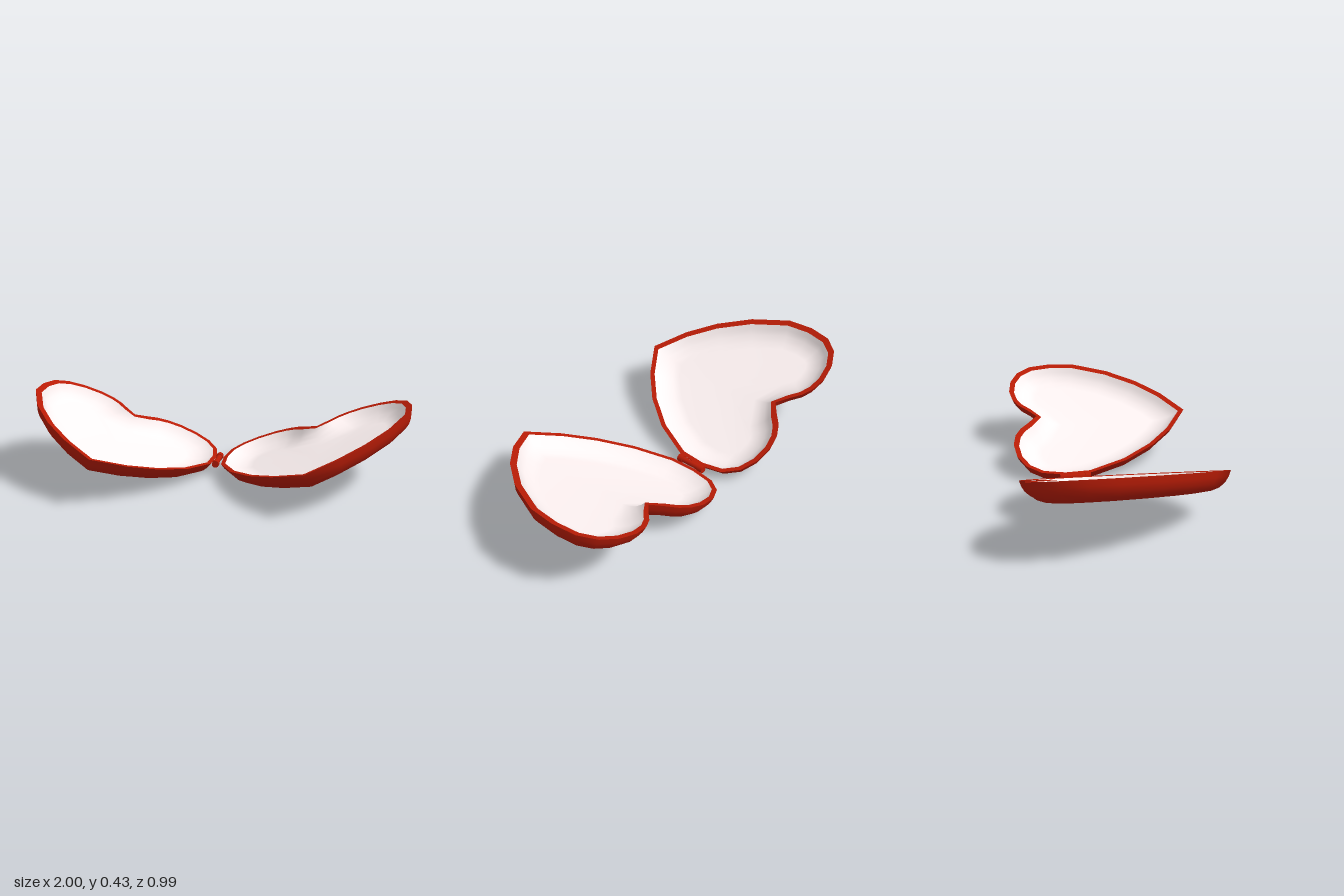
import * as THREE from 'three';

const red = new THREE.MeshStandardMaterial({ color: 0xb81c06 });
const grey = new THREE.MeshStandardMaterial({ color: 0xfdf2f2 });

// Half of the heart outline as [x, z], from the front tip to the back notch
const side = [[0, 0.493], [0.17, 0.388], [0.305, 0.263], [0.425, 0.1], [0.513, -0.1], [0.521, -0.24],
  [0.498, -0.36], [0.438, -0.437], [0.35, -0.48], [0.25, -0.493], [0.17, -0.479], [0.11, -0.448],
  [0.06, -0.402], [0, -0.352]];
const outline = [...side, ...side.slice(1, -1).reverse().map(([x, z]) => [-x, z])];
const N = outline.length;
const notch = side.length - 1;

// Heart outline moved inward by a mitred distance, kept shallow at the notch
function inset(distance) {
  const normal = (a, b) => {
    const ex = b[0] - a[0], ez = b[1] - a[1], l = Math.hypot(ex, ez);
    return [ez / l, -ex / l];
  };
  return outline.map((p, i) => {
    if (i === notch) return [p[0], p[1] + distance * 0.95];
    const n1 = normal(outline[(i + N - 1) % N], p);
    const n2 = normal(p, outline[(i + 1) % N]);
    const k = distance / (1 + n1[0] * n2[0] + n1[1] * n2[1]);
    return [p[0] + (n1[0] + n2[0]) * k, p[1] + (n1[1] + n2[1]) * k];
  });
}

// Surface through heart rings given as [inset, depth, shift]; capDepth closes the middle
function loft(profile, capDepth, flip) {
  const position = [], index = [];
  const tri = (a, b, c) => index.push(...(flip ? [a, c, b] : [a, b, c]));
  for (const [distance, depth, shift = 0] of profile)
    for (const [x, z] of inset(distance)) position.push(x + shift, -depth, z);
  for (let r = 0; r < profile.length - 1; r++)
    for (let i = 0; i < N; i++) {
      const a = r * N + i, b = r * N + (i + 1) % N;
      tri(a, b, b + N);
      tri(a, b + N, a + N);
    }
  if (capDepth !== undefined) {
    const last = (profile.length - 1) * N, centre = position.length / 3;
    position.push(0, -capDepth, -0.02);
    for (let i = 0; i < N; i++) tri(last + i, last + (i + 1) % N, centre);
  }
  const g = new THREE.BufferGeometry();
  g.setAttribute('position', new THREE.Float32BufferAttribute(position, 3));
  g.setIndex(index);
  g.computeVertexNormals();
  return g;
}

function add(parent, name, geometry, material) {
  const mesh = new THREE.Mesh(geometry, material);
  mesh.name = name;
  parent.add(mesh);
  return mesh;
}

// One bowl of the locket, reaching out from the hinge on side s
function half(s, angle, x, y) {
  const g = new THREE.Group();
  g.name = s > 0 ? 'leftHalf' : 'rightHalf';
  const shift = -0.006 * s;
  const shell = [[0, 0], [0.01, 0.029], [0.026, 0.056], [0.052, 0.079], [0.085, 0.092], [0.125, 0.097]];
  const rim = [[0, 0], [0.028, 0.004, shift]];
  const liner = [[0.028, 0.004, shift], [0.045, 0.024, shift], [0.075, 0.047], [0.115, 0.063], [0.155, 0.07]];
  const parts = [
    add(g, 'outerShell', loft(shell, 0.098, true), red),
    add(g, 'rim', loft(rim), red),
    add(g, 'liner', loft(liner, 0.071), grey),
  ];
  for (const p of parts) p.position.x = s * 0.521;
  g.position.set(x, y, 0);
  g.rotation.z = s * angle;
  return g;
}

export function createModel() {
  const model = new THREE.Group();
  model.name = 'heartLocket';
  const body = new THREE.Group();
  body.name = 'locket';
  model.add(body);
  body.add(half(1, 0.329, 0.012, 0.059), half(-1, 0.364, -0.027, 0.059));

  // Hinge barrel: a pin with end knuckles
  const hinge = new THREE.Group();
  hinge.name = 'hinge';
  hinge.position.set(-0.013, 0.056, -0.19);
  body.add(hinge);
  const rod = (r, l) => new THREE.CylinderGeometry(r, r, l, 16).rotateX(Math.PI / 2);
  add(hinge, 'hingePin', rod(0.015, 0.16), red);
  for (const z of [-0.065, 0.065])
    add(hinge, 'hingeKnuckle', rod(0.019, 0.03), red).position.z = z;

  // Centre on the ground
  const box = new THREE.Box3().setFromObject(body, true);
  const c = box.getCenter(new THREE.Vector3());
  body.position.set(-c.x, -box.min.y, -c.z);
  return model;
}
